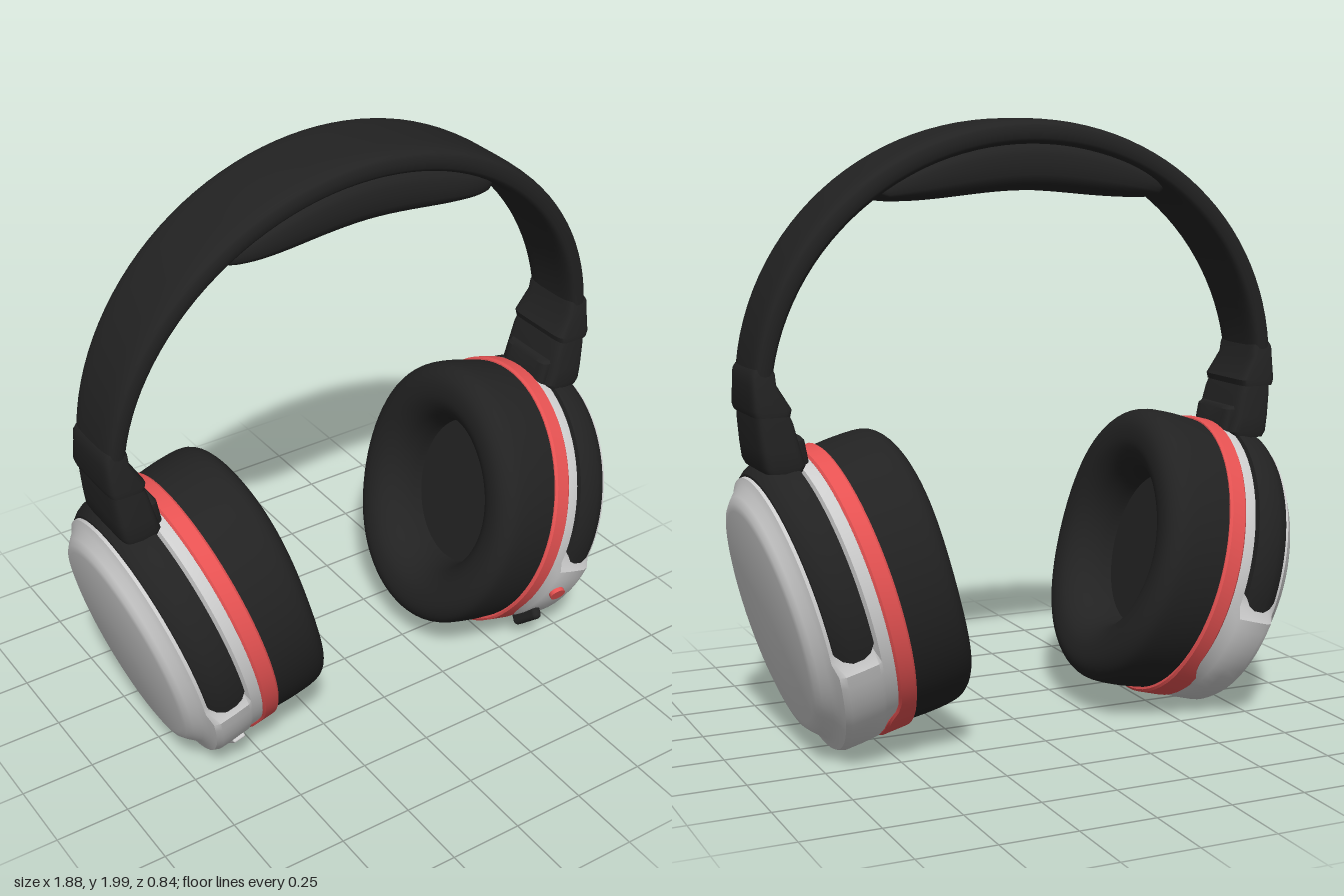
import * as THREE from 'three';
import { toCreasedNormals } from 'three/addons/utils/BufferGeometryUtils.js';
import { RoundedBoxGeometry } from 'three/addons/geometries/RoundedBoxGeometry.js';

const black = new THREE.MeshStandardMaterial({ color: 0x222222 });
const red = new THREE.MeshStandardMaterial({ color: 0xe65252 });
const grey = new THREE.MeshStandardMaterial({ color: 0xcccccc });
const RV = 0.48, RZ = 0.42; // cup radii, vertical and front to back
const TILT = THREE.MathUtils.degToRad(15);
const smooth = THREE.MathUtils.smoothstep;

function add(parent, name, geometry, material) {
  const m = new THREE.Mesh(geometry, material);
  m.name = name;
  parent.add(m);
  return m;
}

// Closed surface from a grid of points f(i, j), turned to face outwards
function surface(nu, nv, f, crease = 0.6) {
  const pos = [], idx = [];
  for (let i = 0; i <= nu; i++) for (let j = 0; j <= nv; j++) pos.push(...f(i, j));
  for (let i = 0; i < nu; i++) for (let j = 0; j < nv; j++) {
    const a = i * (nv + 1) + j, b = a + nv + 1;
    idx.push(a, b, a + 1, b, b + 1, a + 1);
  }
  const P = (k) => new THREE.Vector3().fromArray(pos, k * 3);
  let volume = 0;
  for (let k = 0; k < idx.length; k += 3) volume += P(idx[k]).dot(P(idx[k + 1]).cross(P(idx[k + 2])));
  if (volume < 0) idx.reverse();
  const g = new THREE.BufferGeometry();
  g.setAttribute('position', new THREE.Float32BufferAttribute(pos, 3));
  g.setIndex(idx);
  g.scale(50, 50, 50);
  return toCreasedNormals(g, crease).scale(0.02, 0.02, 0.02);
}

// Elliptical turned part: profile of [radius ratio, distance along the cup axis]
function ring(profile, rule = (r, a) => [r, a], crease) {
  return surface(72, profile.length - 1, (i, j) => {
    const t = (i % 72) / 72 * Math.PI * 2;
    const [r, a] = rule(...profile[j], Math.sin(t));
    return [a, RV * r * Math.sin(t), RZ * r * Math.cos(t)];
  }, crease);
}

// Strap-like loft: sections { c: centre, n: normal, h: half thickness, w: half width }
function loft(sections, power = 0.45, crease) {
  const rows = [sections[0], ...sections, sections[sections.length - 1]];
  const pw = (v) => Math.sign(v) * Math.abs(v) ** power;
  return surface(rows.length - 1, 32, (i, j) => {
    const s = rows[i], k = i === 0 || i === rows.length - 1 ? 0 : 1;
    const t = (j % 32) / 32 * Math.PI * 2;
    const d = k * s.h * pw(Math.sin(t));
    return [s.c[0] + s.n[0] * d, s.c[1] + s.n[1] * d, k * s.w * pw(Math.cos(t))];
  }, crease);
}

// Upright column from rows of [x min, x max, y, half width]
const column = (rows) => loft(rows.map(([x0, x1, y, w]) =>
  ({ c: [(x0 + x1) / 2, y], n: [1, 0], h: (x1 - x0) / 2, w })), 0.3);

// Black panel wrapping over the top of the cup, with rounded ends
function wrapPanel() {
  const prof = [[0.9, 0.505], [0.995, 0.508], [1.003, 0.525], [1.003, 0.55], [1, 0.585],
    [0.975, 0.612], [0.945, 0.63], [0.9, 0.635], [0.9, 0.505]];
  const n = 60;
  return surface(n, prof.length - 1, (i, j) => {
    const end = i === 0 || i === n;
    const [r, a] = end ? [0.9, 0.57] : prof[j];
    const q = Math.min(1, Math.abs(a - 0.57) / 0.065);
    const start = -0.19 + 0.12 * (1 - Math.sqrt(1 - q * q));
    const u = (Math.min(Math.max(i, 1), n - 1) - 1) / (n - 2);
    const t = start + (Math.PI - 2 * start) * u;
    return [a, RV * r * Math.sin(t), RZ * r * Math.cos(t)];
  });
}

// One ear cup; its axis runs along +x, outwards. front = z sign of the front
function earCup(front) {
  const cup = new THREE.Group();

  const pad = new THREE.SplineCurve([[0.975, 0.4], [0.985, 0.32], [0.98, 0.24], [0.95, 0.2],
    [0.88, 0.175], [0.79, 0.17], [0.69, 0.182], [0.6, 0.22], [0.55, 0.28], [0.54, 0.34]]
    .map((p) => new THREE.Vector2(...p))).getPoints(30).map((p) => [p.x, p.y]);
  add(cup, 'earCushion', ring([[0, 0.4], ...pad, [0, 0.34]], (r, a, s) => {
    const dip = a < 0.3 ? 0.02 * (1 - (a - 0.17) / 0.13) * (1 - s * s) ** 2 : 0;
    return [r, a + dip];
  }, 0.9), black);

  add(cup, 'accentRing', ring([[0, 0.395], [0.985, 0.395], [1.0, 0.402], [1.0, 0.45], [0.985, 0.457], [0, 0.457]],
    (r, a, s) => {
      const k = 1 - smooth(s, -0.8, -0.66); // wider along the underside
      return [r + 0.008 * k, a > 0.44 ? a + 0.035 * k : a];
    }), red);

  add(cup, 'cupShell', ring([[0, 0.44], [0.972, 0.44], [0.985, 0.46], [0.985, 0.495], [1, 0.507], [1.005, 0.56],
    [1.005, 0.615], [0.985, 0.635], [0.93, 0.643], [0.88, 0.656], [0.83, 0.68], [0.79, 0.695],
    [0.74, 0.7], [0, 0.7]], (r, a, s) => {
    const k = smooth(s, -0.24, -0.16); // narrower where the panel sits
    return [a > 0.5 ? r + (Math.min(r, 0.93) - r) * k : r, a];
  }), grey);

  add(cup, 'sidePanel', wrapPanel(), black);

  // Small parts set on the curved rim, at height v
  const onRim = (name, geometry, material, v) => {
    const z = RZ * Math.sqrt(1 - (v / RV) ** 2);
    const m = add(cup, name, geometry, material);
    m.position.set(0.55, v, front * z);
    m.lookAt(0.55, v + v / RV ** 2, front * (z + z / RZ ** 2));
  };
  if (front > 0) {
    const button = new THREE.CylinderGeometry(0.028, 0.028, 0.03, 20).rotateX(Math.PI / 2);
    onRim('powerButton', button, red, -0.225);
    onRim('plug', new RoundedBoxGeometry(0.036, 0.13, 0.07, 3, 0.016), black, -0.375);
  } else {
    onRim('portCover', new RoundedBoxGeometry(0.045, 0.13, 0.02, 2, 0.006), grey, -0.375);
  }

  cup.position.set(0.655 * Math.sin(TILT), 0.655 * Math.cos(TILT), 0);
  cup.rotation.z = -TILT;
  return cup;
}

export function createModel() {
  const model = new THREE.Group();
  model.name = 'headphones';

  // Headband along half an ellipse, wider at the top
  const band = [];
  for (let i = 0; i <= 56; i++) {
    const t = Math.PI * i / 56, c = Math.cos(t), s = Math.sin(t);
    const n = new THREE.Vector2(c / 0.915, s / 0.85).normalize();
    const h = 0.034 + 0.009 * s;
    band.push({ c: [0.915 * c - n.x * h, 1.15 + 0.85 * s - n.y * h], n: [n.x, n.y], h, w: 0.113 + 0.052 * s });
  }
  add(model, 'headband', loft(band, 0.5, 1), black);

  // Padding under the top of the headband
  const padding = [];
  for (let i = 0; i <= 40; i++) {
    const x = -0.525 * Math.cos(Math.PI * i / 40), q = Math.abs(x) / 0.525;
    const top = 1.17 + 0.77 * Math.sqrt(1 - (x / 0.85) ** 2);
    const bottom = 1.772 - 0.028 * smooth(q, 0, 0.8) + 0.04 * smooth(q, 0.88, 1);
    padding.push({ c: [x, (top + bottom) / 2], n: [0, 1], h: Math.max(0.004, (top - bottom) / 2),
      w: 0.02 + 0.14 * Math.sqrt(Math.max(0, 1 - q ** 6)) });
  }
  add(model, 'headPadding', loft(padding, 0.6, 1), black);

  // Each side: cup, slider sleeve and hinge block; the other side is turned about y
  for (const [name, front] of [['left', 1], ['right', -1]]) {
    const side = new THREE.Group();
    side.name = name + 'Side';
    const cup = earCup(front);
    cup.name = name + 'EarCup';
    side.add(cup);
    add(side, 'sliderSleeve', column([[0.845, 0.908, 1.25, 0.112], [0.838, 0.917, 1.235, 0.117],
      [0.835, 0.918, 1.2, 0.121], [0.79, 0.92, 1.125, 0.137], [0.795, 0.913, 1.105, 0.136]]), black);
    add(side, 'hingeBlock', column([[0.8, 0.905, 1.115, 0.128], [0.785, 0.905, 1.08, 0.132],
      [0.765, 0.897, 1.0, 0.138], [0.75, 0.89, 0.95, 0.14], [0.76, 0.88, 0.93, 0.135]]), black);
    add(side, 'hingeTab', column([[0.755, 0.85, 1.035, 0.1], [0.745, 0.85, 1.025, 0.108],
      [0.73, 0.85, 0.95, 0.108], [0.74, 0.85, 0.93, 0.1]]), black);
    side.rotation.y = front > 0 ? 0 : Math.PI;
    model.add(side);
  }
  return model;
}
